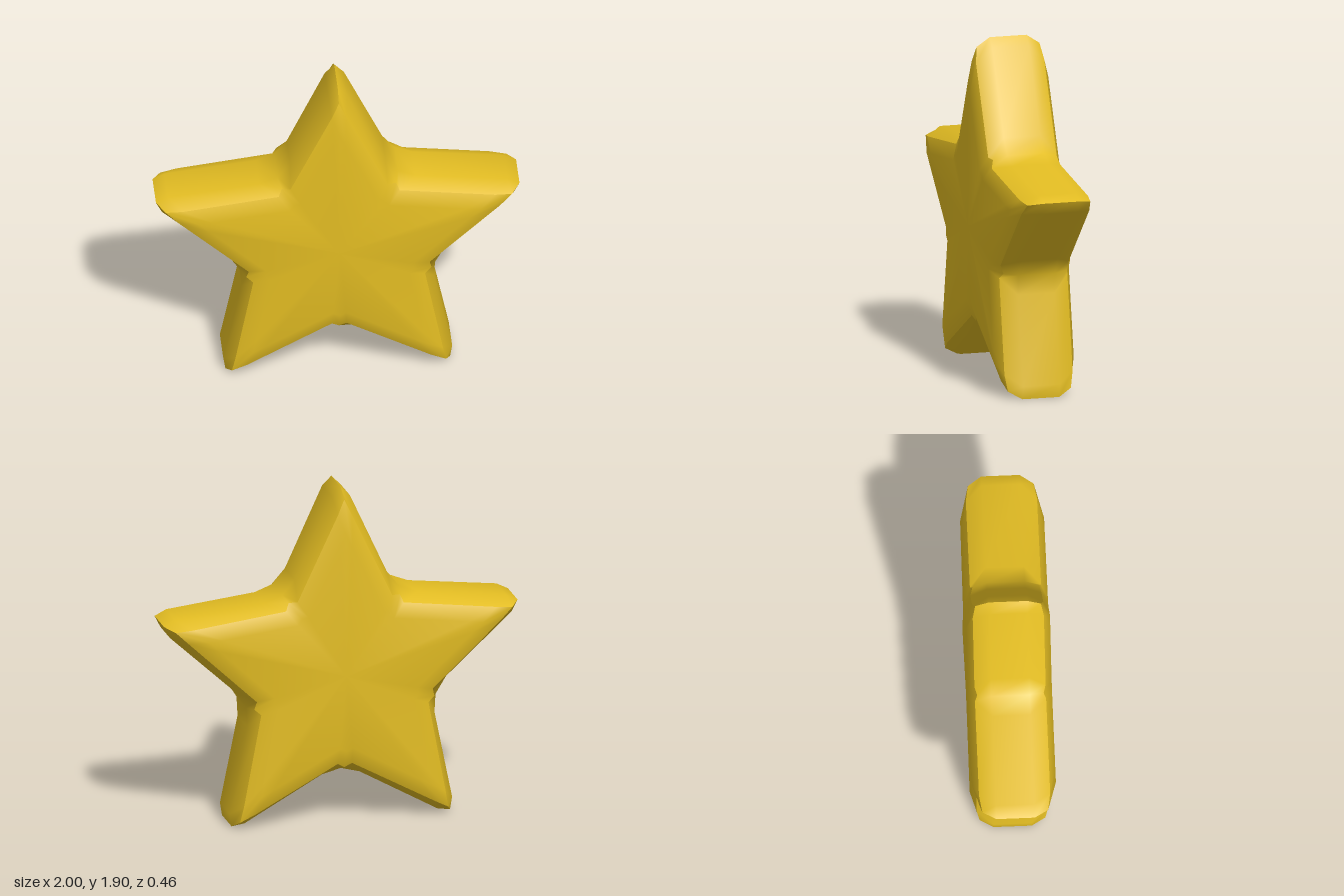
import * as THREE from 'three';

const CENTRE_Y = 0.85;

// Star-shaped ring of 30 points. Each arm is described by four [x, y, z] points of its right half:
// tip, near tip, shoulder, valley; the other half is mirrored.
function starRing([tip, near, shoulder, valley]) {
  const mirror = ([x, y, z]) => [-x, y, z];
  const ring = [];
  for (let arm = 0; arm < 5; arm++) {
    const a = arm * Math.PI * 0.4, b = a + Math.PI * 0.4;
    const add = ([x, y, z], t) => ring.push(new THREE.Vector3(
      x * Math.cos(t) + y * Math.sin(t), y * Math.cos(t) - x * Math.sin(t) + CENTRE_Y, z));
    add(tip, a);
    add(near, a);
    add(shoulder, a);
    add(valley, a);
    add(mirror(shoulder), b);
    add(mirror(near), b);
  }
  return ring;
}

// Smooth skin across rows of points; closed rows join their ends
function skin(rows, closed) {
  const n = rows[0].length, index = [];
  for (let i = 0; i < rows.length - 1; i++) {
    for (let j = 0; j < (closed ? n : n - 1); j++) {
      const k = (j + 1) % n;
      const a = i * n + j, b = i * n + k, c = a + n, d = b + n;
      index.push(a, b, c, b, d, c);
    }
  }
  const geometry = new THREE.BufferGeometry().setFromPoints(rows.flat());
  geometry.setIndex(index);
  geometry.computeVertexNormals();
  return geometry;
}

export function createModel() {
  const group = new THREE.Group();
  group.name = 'star';
  const gold = new THREE.MeshStandardMaterial({ color: 0xe2bc22 });
  gold.name = 'gold';

  const polar = (r, z) => [r * Math.sin(Math.PI / 5), r * Math.cos(Math.PI / 5), z];
  const flip = (ring) => ring.map((p) => new THREE.Vector3(p.x, p.y, -p.z));

  // Rim, face edge and raised flat of the face, from outside in
  const rim = starRing([[0, 1.05, 0.105], [0.052, 0.998, 0.105], [0.262, 0.54, 0.105], polar(0.563, 0.105)]);
  const edge = starRing([[0, 1.0, 0.18], [0.04, 0.915, 0.195], [0.267, 0.436, 0.195], polar(0.535, 0.182)]);
  const flat = starRing([[0, 0.81, 0.23], [0.033, 0.74, 0.23], [0.214, 0.355, 0.23], polar(0.43, 0.23)]);
  const middle = flat.map(() => new THREE.Vector3(0, CENTRE_Y, 0.23));

  const addMesh = (name, geometry) => {
    const mesh = new THREE.Mesh(geometry, gold);
    mesh.name = name;
    group.add(mesh);
  };

  addMesh('frontFace', skin([middle, flat, edge], true));
  addMesh('backFace', skin([flip(edge), flip(flat), flip(middle)], true));

  // Side walls run from tip to tip, so each tip stays sharp and each valley smooth
  for (let arm = 0; arm < 5; arm++) {
    const part = (ring) => Array.from({ length: 7 }, (_, j) => ring[(arm * 6 + j) % 30].clone());
    addMesh('sideWall' + (arm + 1), skin([edge, rim, flip(rim), flip(edge)].map(part), false));
  }
  return group;
}
